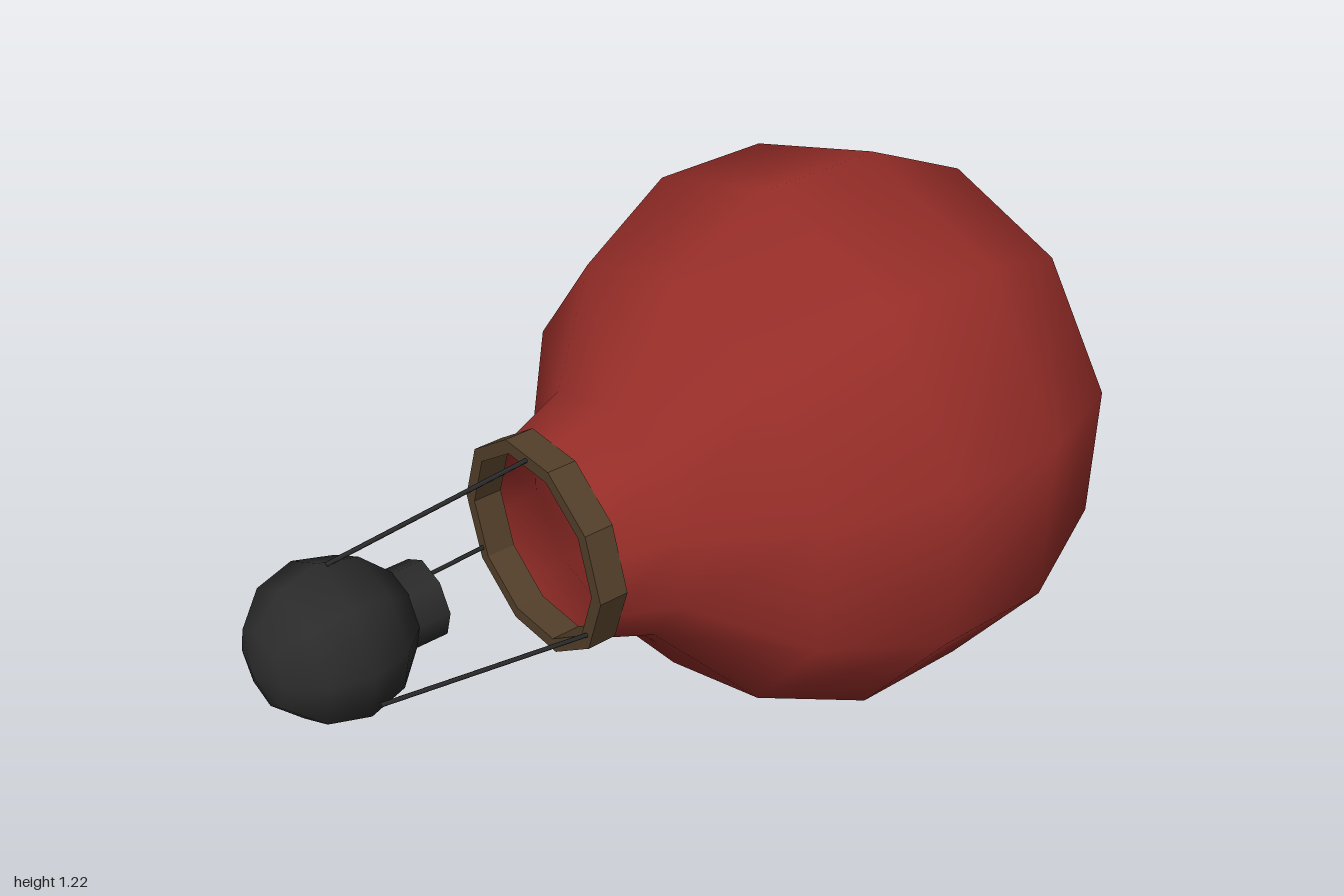
import * as THREE from 'three';

const CENTER_Y = 0.608;

export function createModel() {
  const model = new THREE.Group();
  const body = new THREE.Group();
  body.position.y = CENTER_Y;
  model.add(body);

  const red = new THREE.MeshStandardMaterial({ color: 0x962d28, side: THREE.DoubleSide });
  const brown = new THREE.MeshStandardMaterial({ color: 0x533f2a, flatShading: true });
  const black = new THREE.MeshStandardMaterial({ color: 0x2b2b2b });

  const add = (name, geometry, material) => {
    const mesh = new THREE.Mesh(geometry, material);
    mesh.name = name;
    body.add(mesh);
    return mesh;
  };

  // Envelope: ten-sided, open at the neck, lying along z
  const profile = [
    [0, -1], [0.27, -0.94], [0.49, -0.77], [0.608, -0.51],
    [0.608, -0.24], [0.49, 0.01], [0.27, 0.185], [0.22, 0.32],
  ].map(([r, z]) => new THREE.Vector2(r, z));
  add('envelope', new THREE.LatheGeometry(profile, 10).rotateX(Math.PI / 2), red);

  // Neck ring: flat decagonal band
  const decagon = (r) => Array.from({ length: 10 }, (_, i) => {
    const a = (i / 10) * Math.PI * 2;
    return new THREE.Vector2(r * Math.cos(a), r * Math.sin(a));
  });
  const band = new THREE.Shape(decagon(0.235));
  band.holes.push(new THREE.Path(decagon(0.205)));
  const ring = new THREE.ExtrudeGeometry(band, { depth: 0.065, bevelEnabled: false });
  add('neckRing', ring.translate(0, 0, 0.308), brown);

  // Hanging ball and its short plug facing the envelope
  const ball = new THREE.SphereGeometry(0.168, 8, 6).rotateX(Math.PI / 2).rotateZ(0.11);
  add('ball', ball, black).position.z = 0.832;
  const plug = new THREE.CylinderGeometry(0.083, 0.083, 0.1, 8).rotateX(Math.PI / 2).rotateZ(0.11);
  add('plug', plug, black).position.set(0.004, 0, 0.67);

  // Three ropes from the ring to the ball, slightly twisted
  for (let i = 0; i < 3; i++) {
    const a = Math.PI / 2 + (i * Math.PI * 2) / 3;
    const b = a + 0.06;
    const start = new THREE.Vector3(0.216 * Math.cos(a), 0.216 * Math.sin(a), 0.345);
    const end = new THREE.Vector3(0.163 * Math.cos(b), 0.163 * Math.sin(b), 0.82);
    add('rope' + (i + 1), new THREE.TubeGeometry(new THREE.LineCurve3(start, end), 1, 0.005, 5), black);
  }
  return model;
}
